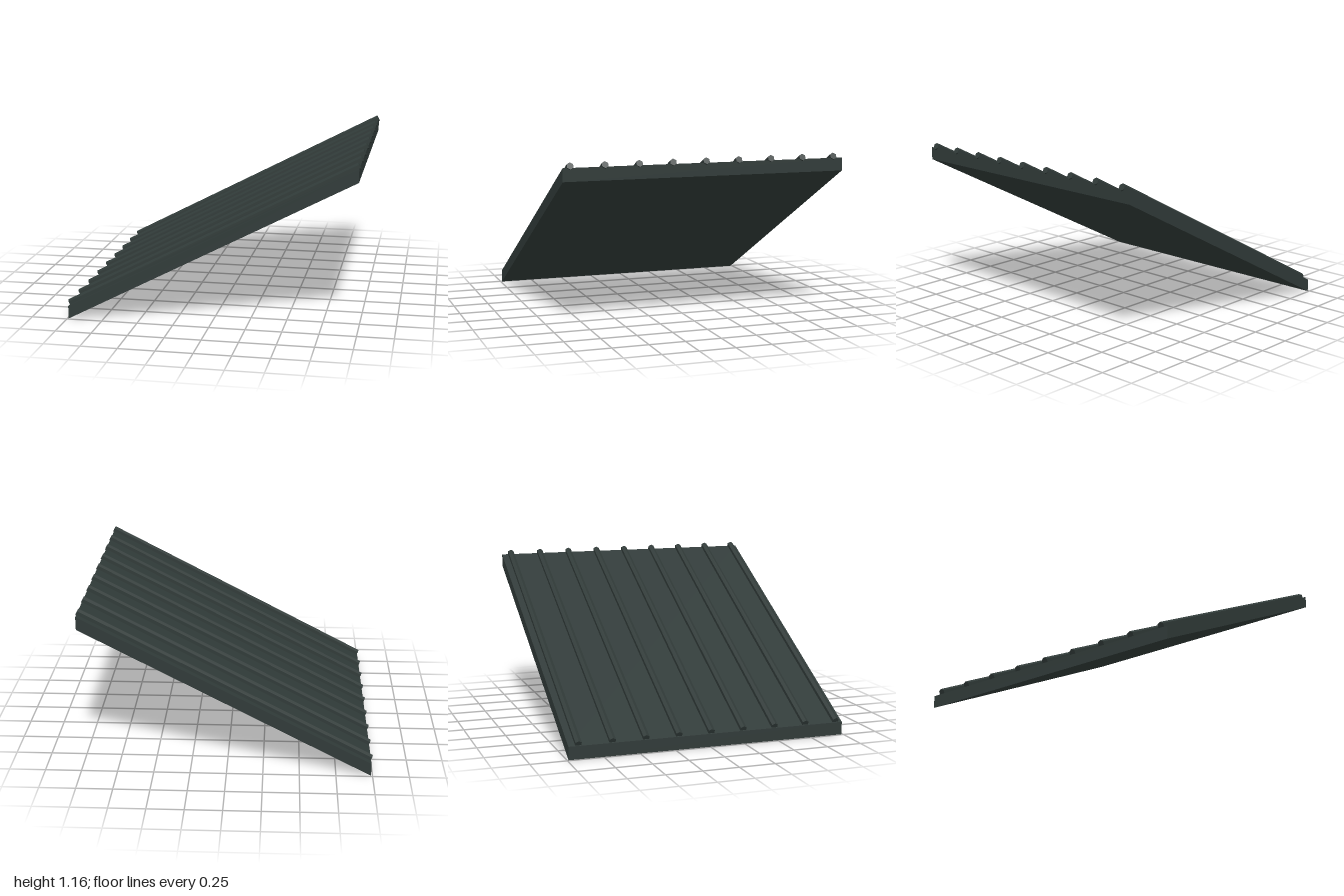
import * as THREE from 'three';

export function createModel() {
  const group = new THREE.Group();
  const slate = new THREE.MeshStandardMaterial({ color: 0x303a38 });
  slate.name = 'darkSlate';

  const half = 0.99;      // half width of the panel in x and z
  const rise = 1.04;      // climb from the low to the high edge
  const thickness = 0.09; // vertical thickness
  const angle = Math.atan2(rise, 2 * half);

  // Sloping panel with upright ends
  const profile = new THREE.Shape([
    new THREE.Vector2(-half, 0),
    new THREE.Vector2(half, rise),
    new THREE.Vector2(half, rise + thickness),
    new THREE.Vector2(-half, thickness),
  ]);
  const panelGeometry = new THREE.ExtrudeGeometry(profile, { depth: 2 * half, bevelEnabled: false });
  panelGeometry.translate(0, 0, -half);
  const panel = new THREE.Mesh(panelGeometry, slate);
  panel.name = 'roofPanel';
  group.add(panel);

  // Hexagonal ribs running up the slope, one corner pointing outward
  const ribGeometry = new THREE.CylinderGeometry(0.0245, 0.0245, Math.hypot(2 * half, rise), 6, 1, false, Math.PI / 2)
    .toNonIndexed();
  ribGeometry.computeVertexNormals();
  ribGeometry.rotateZ(angle - Math.PI / 2);
  const ribs = new THREE.Group();
  ribs.name = 'ribs';
  for (let i = 0; i < 9; i++) {
    const rib = new THREE.Mesh(ribGeometry, slate);
    rib.name = 'rib' + (i + 1);
    rib.position.set(0, rise / 2 + thickness + 0.013, -0.922 + i * 0.2328);
    ribs.add(rib);
  }
  group.add(ribs);

  return group;
}
